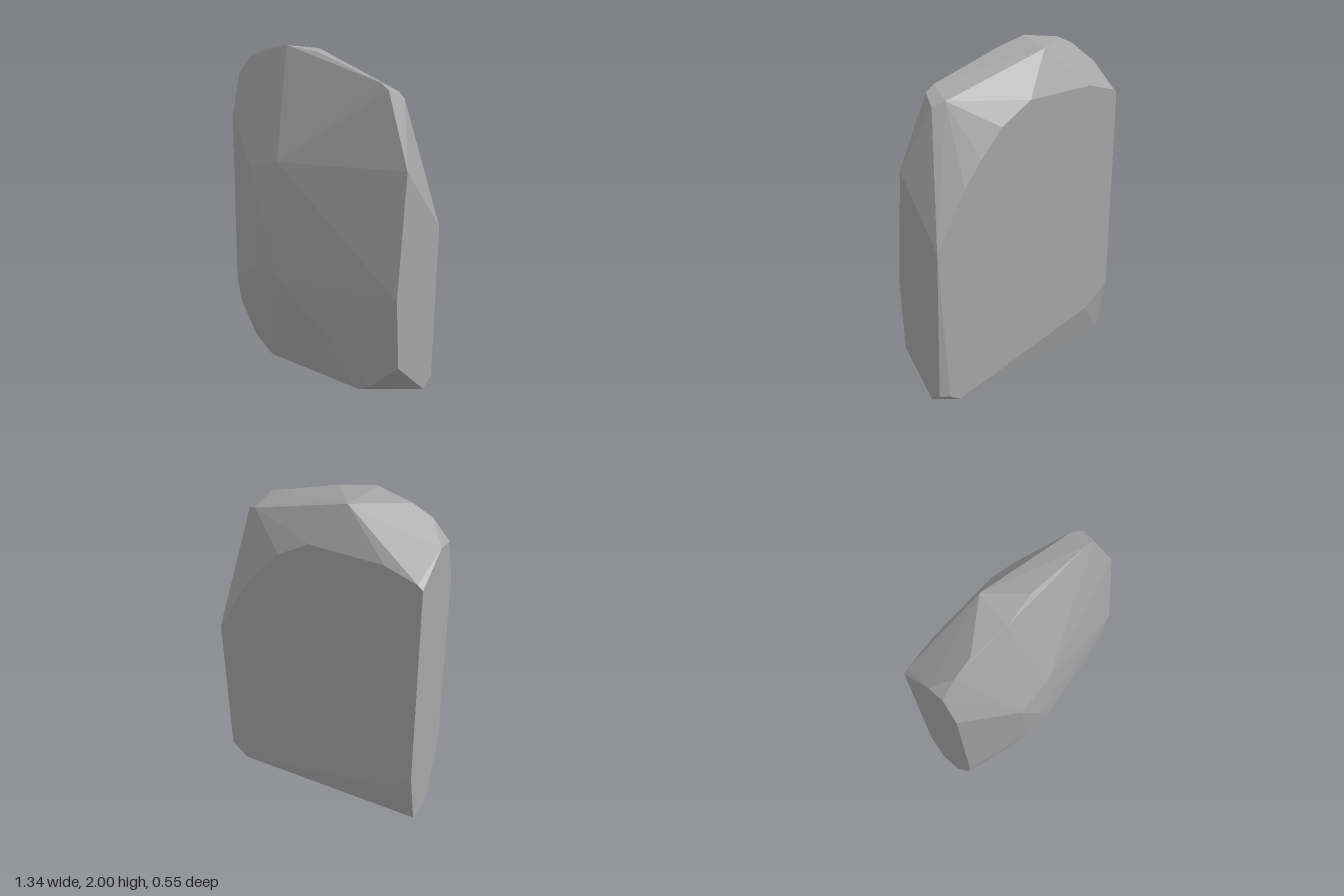
import * as THREE from 'three';
import { ConvexGeometry } from 'three/addons/geometries/ConvexGeometry.js';

export function createModel() {
  const stone = new THREE.MeshStandardMaterial({ color: 0xa6a6a6 });
  stone.name = 'grey stone';

  // corners of the faceted boulder, grouped by region
  const crest = [
    [-0.67, 1.8, 0.015], [-0.57, 1.91, 0.015], [-0.45, 1.965, 0.015], [-0.22, 2, 0.05],
    [0, 1.97, 0.015], [0.45, 1.835, 0.015], [0.505, 1.8, 0.015],
    [-0.17, 1.97, -0.18], [0.475, 1.775, -0.12], [0.54, 1.745, -0.085], [-0.67, 1.8, -0.08],
  ];
  const frontBulge = [
    [-0.35, 1.28, 0.245], [-0.12, 1.35, 0.247], [-0.22, 1.01, 0.277],
    [-0.29, 0.69, 0.247], [-0.12, 0.62, 0.247],
  ];
  const flatSides = [
    [-0.67, 1.54, 0.08], [-0.67, 0.46, 0.08], [-0.67, 0.29, 0.05],
    [0.67, 1.38, 0.05], [0.67, 0.65, 0.115], [0.67, 0.23, 0.085], [0.67, 0.06, -0.255],
  ];
  const base = [
    [-0.67, 0, -0.077], [-0.35, 0, 0.085], [0.38, 0, 0.085], [0.48, 0.06, 0.095],
    [0.67, 0, -0.175], [0.54, 0, -0.277], [-0.67, 0, -0.21],
  ];
  // outline of the flat back
  const back = [
    [-0.67, 0.36], [-0.49, 0.234], [0.54, 0], [0.61, 0.05], [0.67, 1], [0.473, 1.326],
    [0.36, 1.467], [0.217, 1.617], [0.014, 1.73], [-0.444, 1.73], [-0.64, 1.67], [-0.67, 1.645],
  ].map(([x, y]) => [x, y, -0.277]);

  const corners = [...crest, ...frontBulge, ...flatSides, ...base, ...back]
    .map((p) => new THREE.Vector3(...p));

  const boulder = new THREE.Mesh(new ConvexGeometry(corners), stone);
  boulder.name = 'boulder';

  const group = new THREE.Group();
  group.name = 'rock';
  group.add(boulder);
  return group;
}
